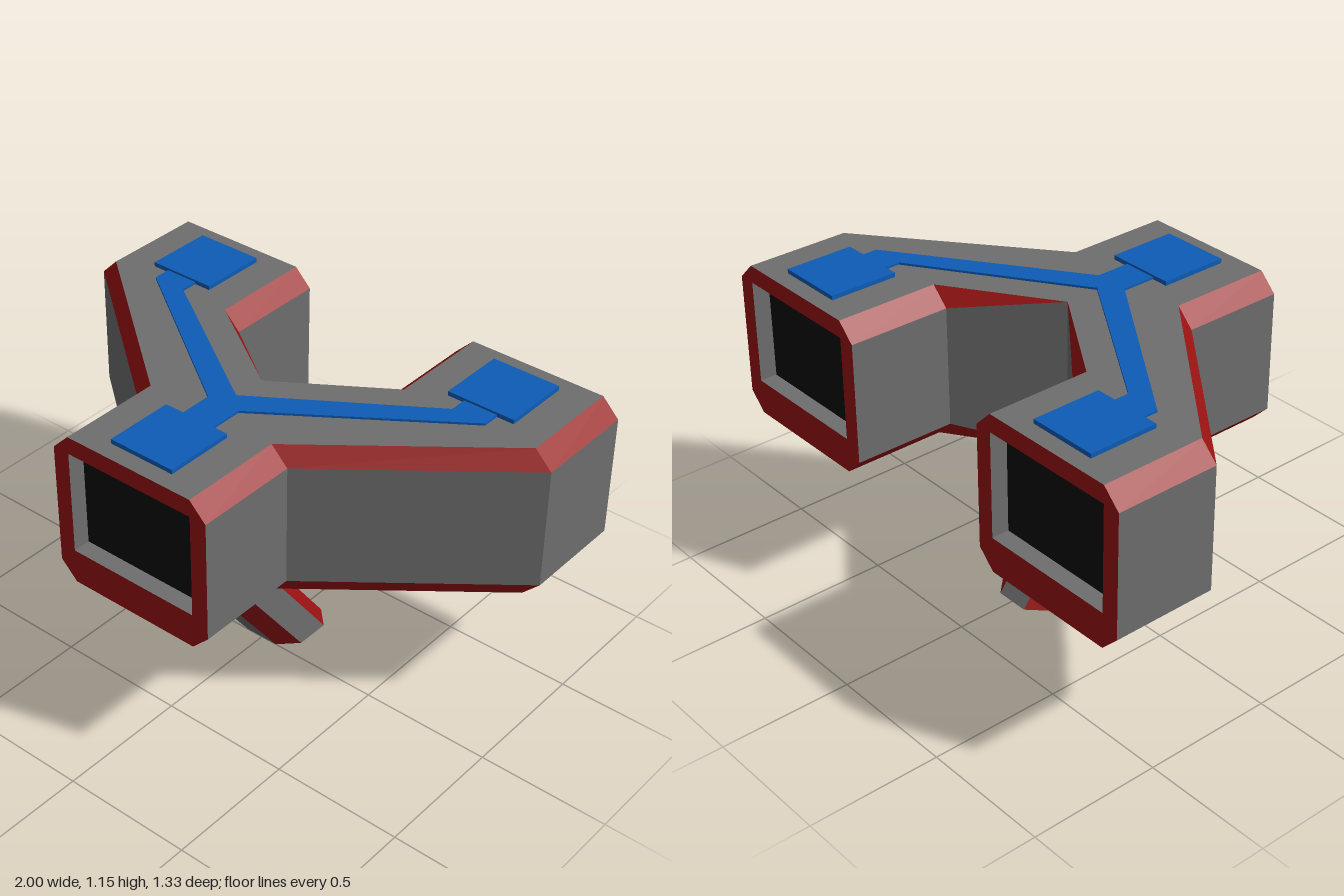
import * as THREE from 'three';

const material = (color) => new THREE.MeshStandardMaterial({ color, flatShading: true });

// Quads joining two closed rings of points, for the edges that pass the test
function loft(ringA, ringB, keep = () => true) {
  const pos = [];
  ringA.forEach((a, i) => {
    const j = (i + 1) % ringA.length;
    if (!keep(i, j)) return;
    const b = ringA[j], c = ringB[j], d = ringB[i];
    for (const tri of [[a, b, c], [a, c, d]]) {
      const [p, q, r] = tri.map((v) => new THREE.Vector3(...v));
      if (new THREE.Triangle(p, q, r).getArea() > 1e-6) pos.push(...tri.flat());
    }
  });
  const geo = new THREE.BufferGeometry();
  geo.setAttribute('position', new THREE.Float32BufferAttribute(pos, 3));
  geo.computeVertexNormals();
  return geo;
}

// Mirror a right-hand plan outline [x, z] across x = 0 into a closed loop
const mirrorLoop = (half, middle) => [
  ...half, middle, ...half.map(([x, z]) => [-x, z]).reverse(),
];
const shapeOf = (pts) => new THREE.Shape(pts.map(([x, y]) => new THREE.Vector2(x, y)));
const facingUp = (pts, y) =>
  new THREE.ShapeGeometry(shapeOf(pts.map(([x, z]) => [x, -z]))).rotateX(-Math.PI / 2).translate(0, y, 0);
const facingDown = (pts, y) =>
  new THREE.ShapeGeometry(shapeOf(pts)).rotateX(Math.PI / 2).translate(0, y, 0);

export function createModel() {
  const group = new THREE.Group();
  // Everything is laid out on a grid of 15 steps per unit
  const model = new THREE.Group();
  model.name = 'junction';
  model.scale.setScalar(1 / 15);
  group.add(model);

  const grey = material(0x6e6e6e);
  const red = material(0x991212);
  const blue = material(0x0d5cb6);
  const black = material(0x0b0b0b);

  const add = (name, geo, mat, parent = model) => {
    const mesh = new THREE.Mesh(geo, mat);
    mesh.name = name;
    parent.add(mesh);
    return mesh;
  };

  // Y-shaped body: flat plan, wider wall plan, chamfers between them
  const flat = mirrorLoop([[4, 10], [4, 4], [14, -4], [14, -10], [6, -10], [6, -4]], [0, 0]);
  const wall = mirrorLoop([[5, 10], [5, 4], [15, -4], [15, -10], [5, -10], [5, -4]], [0, 0]);
  const ring = (plan, y, notchY = y) => plan.map(([x, z]) => [x, x === 0 ? notchY : y, z]);
  const bottomRing = ring(flat, 8);
  const lowRing = ring(wall, 9, 8);
  const highRing = ring(wall, 16, 17);
  const topRing = ring(flat, 17);
  const notEnd = (i, j) => !(Math.abs(wall[i][1]) === 10 && wall[i][1] === wall[j][1]);
  add('bodyWalls', loft(lowRing, highRing, notEnd), grey);
  add('lowerChamfer', loft(bottomRing, lowRing, notEnd), red);
  add('upperChamfer', loft(highRing, topRing, notEnd), red);
  add('bodyTop', facingUp(flat, 17), grey);
  add('bodyBottom', facingDown(flat, 8), grey);

  // Recessed opening with a red rim at each of the three ends
  const opening = [[-4, 10], [4, 10], [4, 16], [-4, 16]];
  const rim = shapeOf([[-4, 8], [4, 8], [5, 9], [5, 16], [4, 17], [-4, 17], [-5, 16], [-5, 9]]);
  rim.holes.push(new THREE.Path(opening.map(([x, y]) => new THREE.Vector2(x, y))));
  const atDepth = (z) => opening.map(([x, y]) => [x, y, z]);
  for (const [name, x, z, turn] of [
    ['frontPort', 0, 10, 0],
    ['leftPort', 10, -10, Math.PI],
    ['rightPort', -10, -10, Math.PI],
  ]) {
    const port = new THREE.Group();
    port.name = name;
    port.position.set(x, 0, z);
    port.rotation.y = turn;
    model.add(port);
    add('portRim', new THREE.ShapeGeometry(rim), red, port);
    add('portLining', loft(atDepth(0), atDepth(-1)), grey, port);
    add('portPanel', new THREE.PlaneGeometry(8, 6).translate(0, 13, -1), black, port);
  }

  // Slanted eight-sided leg with red corner faces
  const octagon = [[2, 1], [2, -1], [1, -2], [-1, -2], [-2, -1], [-2, 1], [-1, 2], [1, 2]];
  const legRing = (y, shift) => octagon.map(([x, z]) => [x, y, z + shift]);
  const foot = legRing(0, -2);
  const hip = legRing(8, 4);
  add('legFaces', loft(foot, hip, (i) => i % 2 === 0), grey);
  add('legCorners', loft(foot, hip, (i) => i % 2 === 1), red);
  add('legFoot', facingDown(octagon.map(([x, z]) => [x, z - 2]), 0), grey);

  // Blue strip joining three raised pads on the top
  const strip = mirrorLoop([[1, 5], [1, 3], [11, -4], [11, -5], [9, -5], [9, -4]], [0, 2]);
  const stripGeo = new THREE.ExtrudeGeometry(shapeOf(strip.map(([x, z]) => [x, -z])), {
    depth: 0.125, bevelEnabled: false,
  });
  add('topStrip', stripGeo.rotateX(-Math.PI / 2).translate(0, 17, 0), blue);
  for (const [name, x, z] of [['frontPad', 0, 7], ['leftPad', 10, -7], ['rightPad', -10, -7]]) {
    add(name, new THREE.BoxGeometry(4, 0.25, 4).translate(x, 17.125, z), blue);
  }

  return group;
}
